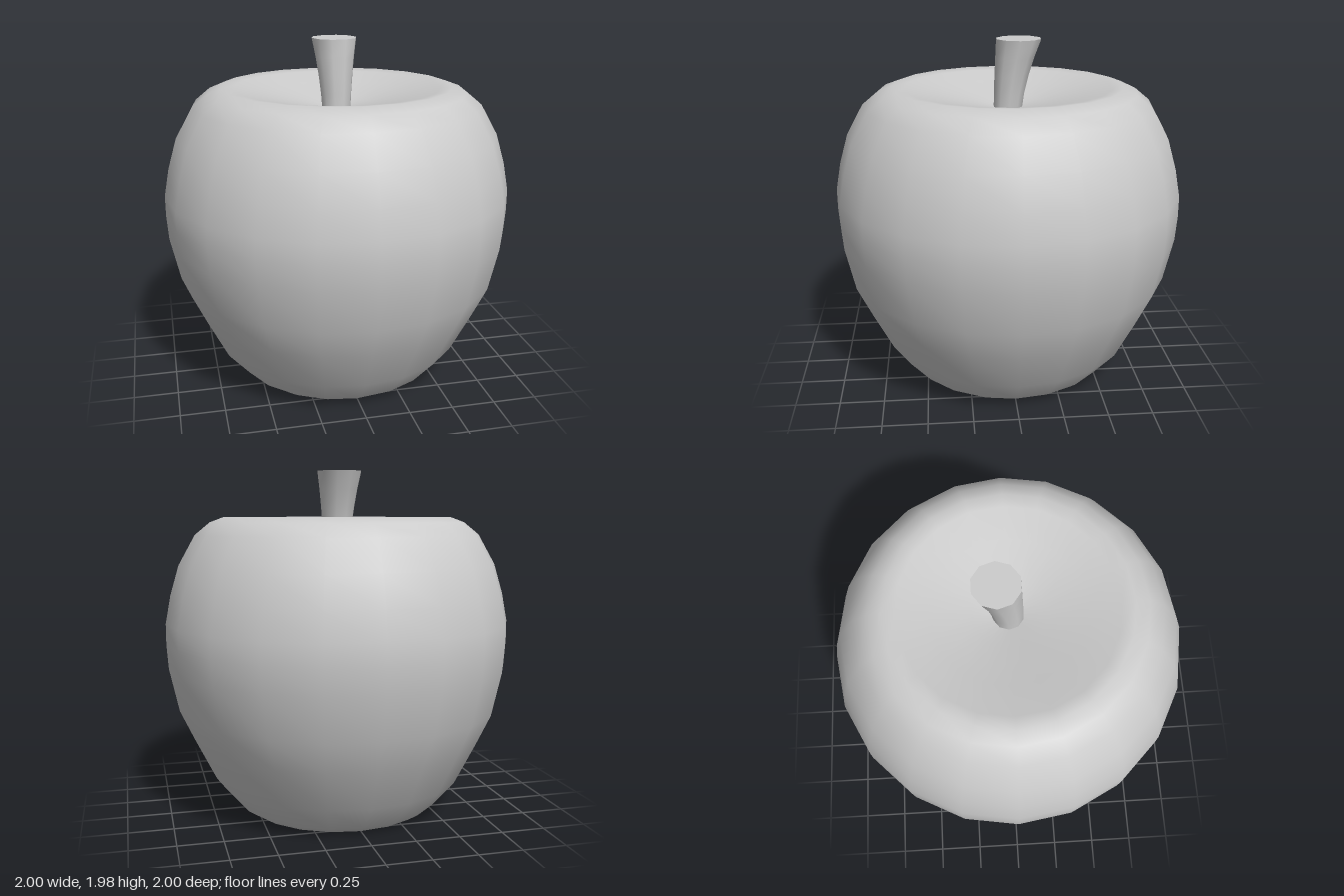
import * as THREE from 'three';

const grey = () => new THREE.MeshStandardMaterial({ color: 0xcccccc });

// Fruit: one turned profile, from the hollow underneath to the dimple on top
function makeFruit() {
  const profile = [
    [0, 0.11], [0.2, 0.09], [0.38, 0.05], [0.48, 0.015], [0.54, 0.0], [0.6, 0.04],
    [0.73, 0.19], [0.85, 0.43], [0.935, 0.61], [0.99, 0.86], [1, 1.0], [1, 1.12],
    [0.97, 1.28], [0.92, 1.45], [0.825, 1.62], [0.74, 1.69], [0.66, 1.72],
    [0.59, 1.71], [0.42, 1.67], [0.2, 1.62], [0, 1.58],
  ].map(([r, y]) => new THREE.Vector2(r, y));
  const mesh = new THREE.Mesh(new THREE.LatheGeometry(profile, 20), grey());
  mesh.name = 'fruit';
  return mesh;
}

// Stem: a ten-sided cylinder that flares and leans back as it rises
function makeStem() {
  const sides = 10, rows = 4, bottom = 1.57, top = 1.98;
  const geo = new THREE.CylinderGeometry(1, 1, 1, sides, rows, false, Math.PI / 2);
  const pos = geo.attributes.position;
  for (let i = 0; i < pos.count; i++) {
    const t = pos.getY(i) + 0.5;
    const radius = 0.082 + 0.02 * t + 0.028 * t * t;
    pos.setXYZ(i, pos.getX(i) * radius, bottom + (top - bottom) * t,
      pos.getZ(i) * radius - 0.062 * Math.pow(t, 1.5));
  }
  geo.computeVertexNormals();

  // Blend the normals across the seam of the side wall
  const normal = geo.attributes.normal;
  const a = new THREE.Vector3(), b = new THREE.Vector3();
  for (let row = 0; row <= rows; row++) {
    const first = row * (sides + 1), last = first + sides;
    a.fromBufferAttribute(normal, first).add(b.fromBufferAttribute(normal, last)).normalize();
    normal.setXYZ(first, a.x, a.y, a.z);
    normal.setXYZ(last, a.x, a.y, a.z);
  }
  const mesh = new THREE.Mesh(geo, grey());
  mesh.name = 'stem';
  return mesh;
}

export function createModel() {
  const group = new THREE.Group();
  group.name = 'apple';
  group.add(makeFruit(), makeStem());
  return group;
}
